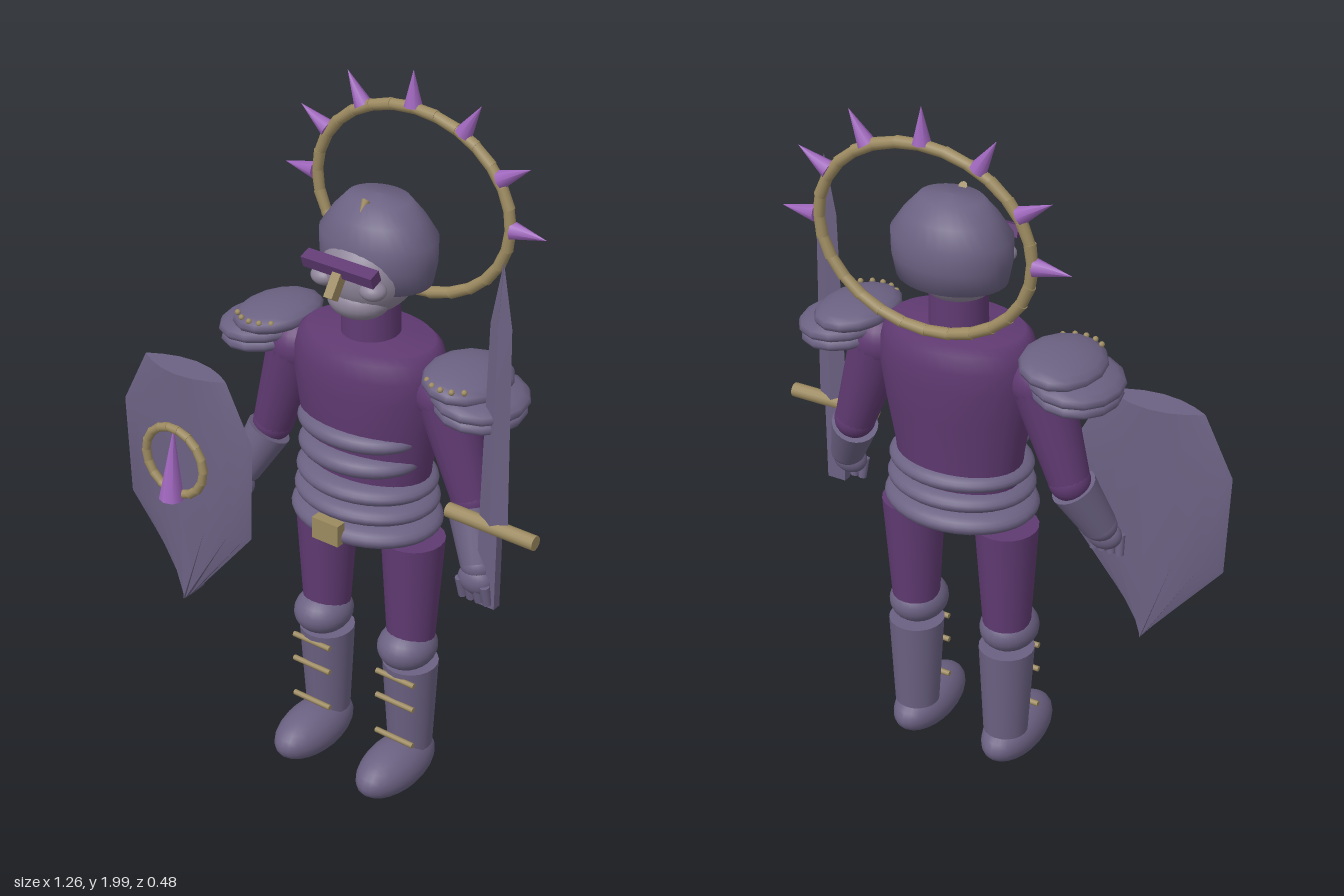
import * as THREE from 'three';
import { toCreasedNormals } from 'three/addons/utils/BufferGeometryUtils.js';

const mat = (name, color) => Object.assign(new THREE.MeshStandardMaterial({ color }), { name });
const armor = mat('armor grey', 0x6b6182);
const cloth = mat('deep purple', 0x603a72);
const gold = mat('dull gold', 0x9c8a60);
const crystal = mat('bright violet', 0x9f66bd);
const skin = mat('pale skin', 0x8d8498);

const CX = 0.068, CZ = -0.05; // body axis
const V = (x, y, z) => new THREE.Vector3(x, y, z);

export function createModel() {
  const model = new THREE.Group();
  model.name = 'knight';

  function add(name, geo, material, x = 0, y = 0, z = 0, parent = model) {
    const m = new THREE.Mesh(geo, material);
    m.name = name;
    m.position.set(x, y, z);
    parent.add(m);
    return m;
  }
  function ball(name, material, x, y, z, rx, ry, rz, seg = 24) {
    const m = add(name, new THREE.SphereGeometry(1, seg, Math.ceil(seg * 0.66)), material, x, y, z);
    m.scale.set(rx, ry, rz);
    return m;
  }
  // tapered cylinder from a to b
  function limb(name, material, a, b, ra, rb, seg = 20, parent = model) {
    const d = b.clone().sub(a);
    const m = add(name, new THREE.CylinderGeometry(rb, ra, d.length(), seg), material, 0, 0, 0, parent);
    m.position.copy(a).addScaledVector(d, 0.5);
    m.quaternion.setFromUnitVectors(V(0, 1, 0), d.normalize());
    return m;
  }
  // turned shape with an oval plan
  function oval(name, material, profile, x, z, depth, seg = 36) {
    const geo = new THREE.LatheGeometry(profile.map(p => new THREE.Vector2(...p)), seg);
    const m = add(name, geo, material, x, 0, z);
    m.scale.z = depth;
    return m;
  }
  // ring of short straight links
  function linkRing(name, x, y, z, rx, ry, tube, count) {
    const g = new THREE.Group();
    g.name = name;
    g.position.set(x, y, z);
    model.add(g);
    const at = i => V(rx * Math.cos(i * 2 * Math.PI / count), ry * Math.sin(i * 2 * Math.PI / count), 0);
    for (let i = 0; i < count; i++) limb('link', gold, at(i - 0.06), at(i + 1.06), tube, tube * 0.9, 10, g);
    return g;
  }
  // plate whose half width and thickness change from row to row, top to bottom
  function plate(name, x, z, seg, rows, thick) {
    const n = rows.length - 1;
    const geo = new THREE.CylinderGeometry(1, 1, 1, seg, n);
    const p = geo.attributes.position;
    for (let i = 0; i < p.count; i++) {
      const [y, w, t = 1] = rows[Math.round((0.5 - p.getY(i)) * n)];
      const pz = p.getZ(i);
      p.setXYZ(i, p.getX(i) * w, y, pz * Math.abs(pz) * thick * t);
    }
    return add(name, toCreasedNormals(geo, 0.45), armor, x, 0, z);
  }

  // torso and neck
  oval('torso', cloth, [[0, 0.79], [0.15, 0.795], [0.17, 0.9], [0.18, 1.0], [0.203, 1.13], [0.217, 1.23],
    [0.215, 1.29], [0.203, 1.335], [0.18, 1.355], [0, 1.362]], CX, CZ, 0.72);
  add('neck', new THREE.CylinderGeometry(0.075, 0.078, 0.16, 24), cloth, CX, 1.39, CZ);

  // waist plates: y, half height, half width, centre z, half depth
  for (const [y, h, w, z, d] of [
    [1.105, 0.035, 0.18, -0.005, 0.125], [1.035, 0.037, 0.178, -0.012, 0.137], [0.952, 0.035, 0.2, -0.04, 0.162],
    [0.895, 0.035, 0.205, -0.04, 0.168], [0.833, 0.04, 0.215, -0.04, 0.174]]) {
    const profile = [];
    for (let i = 0; i <= 14; i++) {
      const a = (i / 14 - 0.5) * Math.PI;
      profile.push([w * Math.sqrt(Math.max(0, Math.cos(a))), y + h * Math.sin(a)]);
    }
    profile[0][0] = profile[14][0] = 0;
    oval('waistPlate', armor, profile, CX, z, d / w);
  }
  add('buckle', new THREE.BoxGeometry(0.084, 0.062, 0.03), gold, CX, 0.846, 0.13);

  // head, face and helmet
  ball('head', skin, CX, 1.535, -0.045, 0.122, 0.115, 0.122, 28);
  ball('jaw', skin, CX, 1.468, 0.0, 0.085, 0.052, 0.075);
  for (const s of [-1, 1]) ball('cheek', skin, CX + s * 0.075, 1.525, 0.045, 0.036, 0.025, 0.033);
  oval('helmet', armor, [[0, 1.47], [0.09, 1.48], [0.148, 1.5], [0.16, 1.56], [0.161, 1.62], [0.127, 1.67],
    [0.085, 1.715], [0, 1.722]], CX, -0.08, 0.79, 32);
  add('visor', new THREE.BoxGeometry(0.215, 0.032, 0.035), cloth, CX, 1.577, 0.078).rotation.x = 0.35;
  add('nose', new THREE.BoxGeometry(0.026, 0.075, 0.03), gold, CX, 1.54, 0.098).rotation.x = -0.6;
  add('helmetStud', new THREE.ConeGeometry(0.012, 0.035, 8), gold, CX, 1.708, -0.012).rotation.x = 2.3;

  // spiked halo
  const halo = linkRing('halo', CX, 1.655, -0.217, 0.299, 0.247, 0.016, 28);
  for (let i = 0; i <= 6; i++) {
    const a = i * Math.PI / 6, c = Math.cos(a), s = Math.sin(a);
    limb('haloSpike', crystal, V(c * 0.305, s * 0.25, 0), V(c * 0.403, s * 0.344, 0), 0.024, 0.0005, 8, halo);
  }

  for (const s of [-1, 1]) {
    const X = o => CX + s * o;

    // leg
    const lx = X(0.142);
    limb('thigh', cloth, V(lx, 0.48, -0.05), V(lx, 0.79, -0.052), 0.066, 0.086);
    ball('kneeCap', armor, lx, 0.452, -0.035, 0.08, 0.063, 0.088);
    limb('greave', armor, V(lx, 0.12, -0.055), V(lx, 0.395, -0.05), 0.062, 0.077);
    ball('boot', armor, lx, 0.078, 0.012, 0.079, 0.071, 0.152);
    for (const y of [0.37, 0.29, 0.17]) {
      limb('greaveStrap', gold, V(lx - 0.062, y, 0.02), V(lx + 0.062, y, 0.02), 0.008, 0.008, 8);
    }

    // layered shoulder guard with rivets
    for (const [o, y, rx, ry, rz] of [[0.34, 1.25, 0.115, 0.035, 0.13], [0.338, 1.28, 0.123, 0.036, 0.137],
      [0.3, 1.318, 0.108, 0.038, 0.137]]) {
      ball('shoulderGuard', armor, X(o), y, CZ, rx, ry, rz, 14).rotation.z = -s * 0.1;
    }
    for (let i = 0; i < 5; i++) {
      const a = 0.95 + i * 0.31;
      ball('rivet', gold, X(0.3 + 0.095 * Math.cos(a)), 1.335, CZ + 0.122 * Math.sin(a), 0.008, 0.008, 0.008, 8);
    }

    // arm
    const elbow = V(X(0.322), 0.98, -0.05), wrist = V(X(0.385), 0.83, 0.005);
    ball('shoulder', cloth, X(0.235), 1.25, CZ, 0.085, 0.08, 0.08);
    limb('upperArm', cloth, elbow, V(X(0.235), 1.25, CZ), 0.055, 0.08);
    ball('elbow', cloth, elbow.x, elbow.y, elbow.z, 0.056, 0.056, 0.056);
    limb('forearm', armor, wrist, V(X(0.33), 0.955, -0.04), 0.047, 0.063);
    ball('wrist', armor, wrist.x, wrist.y, wrist.z, 0.047, 0.04, 0.047);
    ball('palm', armor, X(0.39), 0.795, 0.022, 0.05, 0.042, 0.035);
    for (let i = 0; i < 4; i++) {
      const fx = 0.354 + i * 0.025;
      limb('finger', armor, V(X(fx), 0.795, 0.04), V(X(fx + 0.004), 0.738, 0.03), 0.014, 0.012, 8);
    }
  }

  // shield with ring and spike
  plate('shield', -0.408, 0.125, 16,
    [[1.165, 0.138], [1.0, 0.222], [0.71, 0.212], [0.455, 0.003]], 0.045);
  linkRing('shieldRing', -0.405, 0.91, 0.186, 0.1, 0.1, 0.013, 18);
  limb('shieldSpike', crystal, V(-0.405, 0.8, 0.205), V(-0.405, 1.01, 0.185), 0.034, 0.0005, 8);

  // sword
  plate('blade', 0.502, 0.018, 4, [[1.693, 0.001, 0.1], [1.53, 0.031, 0.8], [0.965, 0.043]], 0.017);
  limb('guard', gold, V(0.365, 0.965, 0.018), V(0.628, 0.965, 0.018), 0.02, 0.02, 12);
  add('grip', new THREE.BoxGeometry(0.055, 0.235, 0.026), armor, 0.493, 0.845, 0.016);

  return model;
}
